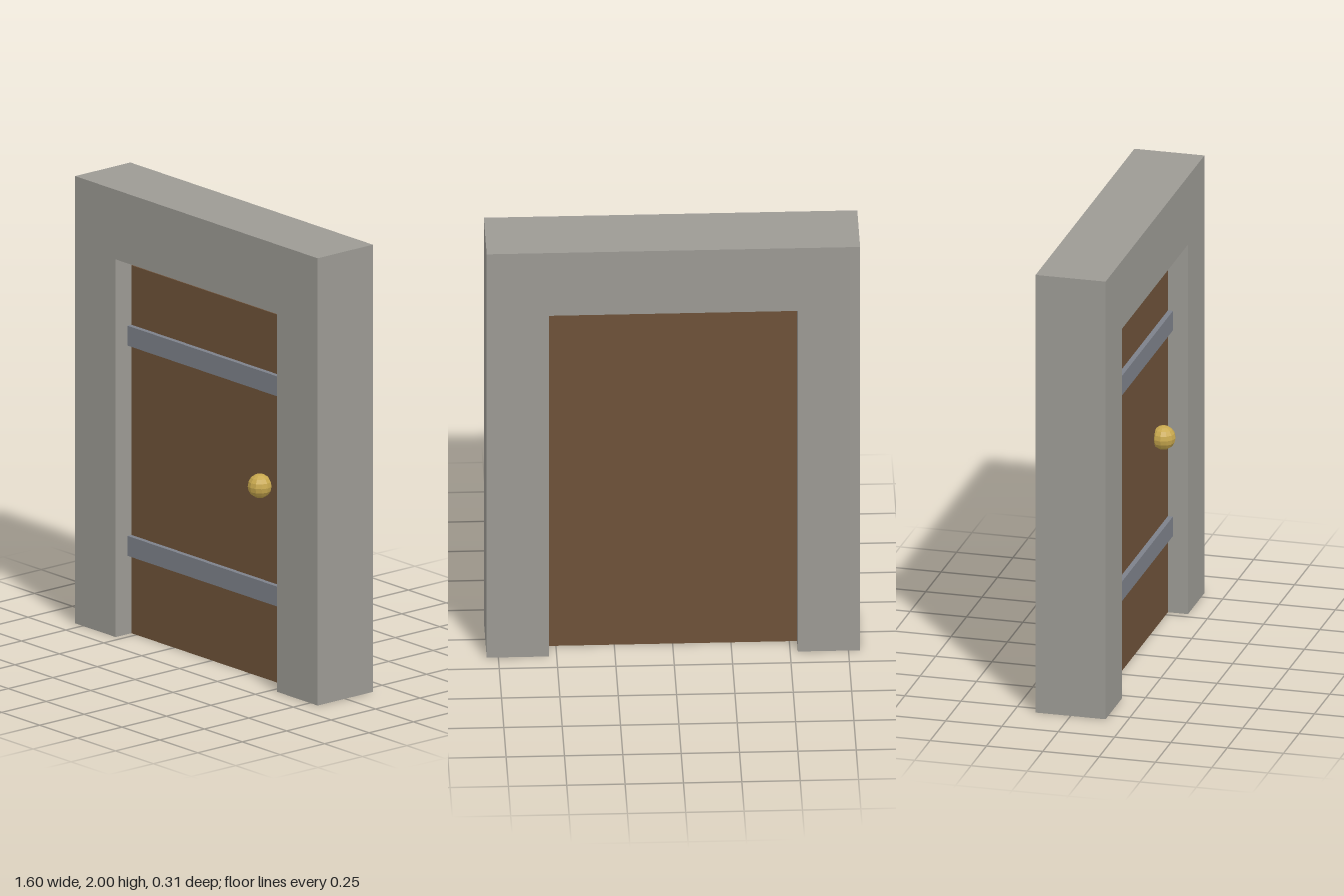
import * as THREE from 'three';

const mat = (color) => new THREE.MeshStandardMaterial({ color, flatShading: true });

function add(parent, name, geometry, material, x, y, z) {
  const mesh = new THREE.Mesh(geometry, material);
  mesh.name = name;
  mesh.position.set(x, y, z);
  parent.add(mesh);
  return mesh;
}

export function createModel() {
  const model = new THREE.Group();
  model.name = 'door';

  const halfWidth = 0.8, height = 2, depth = 0.311;
  const halfOpening = 0.533, openingHeight = 1.689;

  // Stone frame: one outline around the opening, extruded to its depth
  const outline = new THREE.Shape([
    [-halfWidth, 0], [-halfOpening, 0], [-halfOpening, openingHeight],
    [halfOpening, openingHeight], [halfOpening, 0], [halfWidth, 0],
    [halfWidth, height], [-halfWidth, height],
  ].map(([x, y]) => new THREE.Vector2(x, y)));
  const frame = new THREE.ExtrudeGeometry(outline, { depth, bevelEnabled: false });
  add(model, 'frame', frame, mat(0x9c9a94), 0, 0, -depth / 2);

  // Wooden leaf, a little lower than the opening
  const leafHeight = 1.645, leafDepth = 0.133;
  const leaf = new THREE.BoxGeometry(halfOpening * 2, leafHeight, leafDepth);
  add(model, 'doorLeaf', leaf, mat(0x6e5239), 0, leafHeight / 2, 0);

  // Iron bands across the front of the leaf
  const iron = mat(0x7d818a);
  const band = new THREE.BoxGeometry(halfOpening * 2, 0.089, 0.029);
  [['lowerBand', 0.395], ['upperBand', 1.335]].forEach(([name, y]) =>
    add(model, name, band, iron, 0, y, 0.0745));

  // Faceted brass knob
  add(model, 'knob', new THREE.SphereGeometry(0.053, 12, 8), mat(0xc8a84e), 0.35, 0.868, 0.097);

  return model;
}
